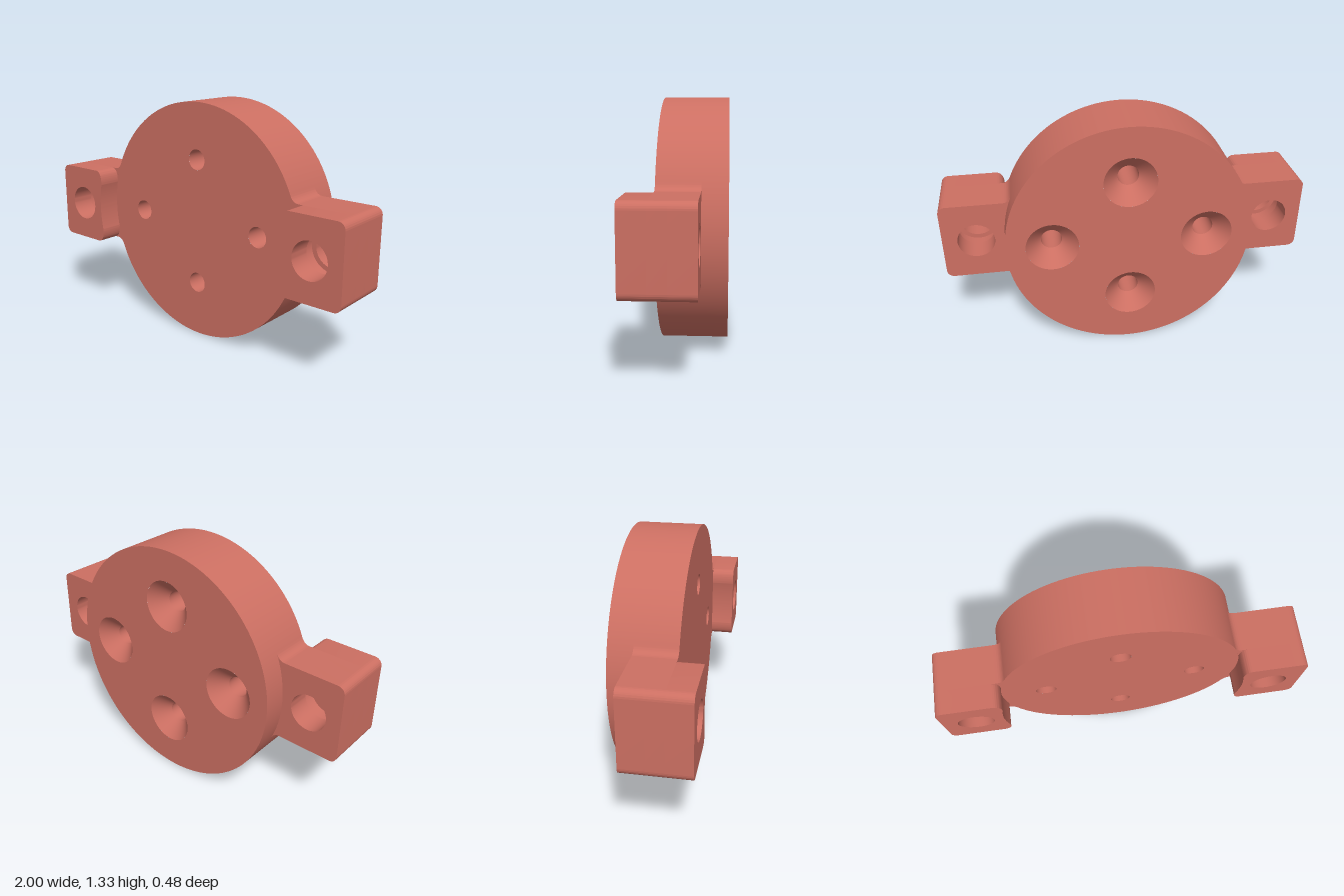
import * as THREE from 'three';
import { toCreasedNormals } from 'three/addons/utils/BufferGeometryUtils.js';

const R = 0.667;                    // disc radius, also the height of its centre
const BACK = -0.24, FACE = 0.11;    // disc faces
const EAR_BACK = -0.11, EAR_FRONT = 0.24;
const HALF = 0.22, EAR_X = 0.82;    // half height of an ear, centre of its bore

const material = new THREE.MeshStandardMaterial({ color: 0xcc6f62 });
const lining = new THREE.MeshStandardMaterial({ color: 0xcc6f62, side: THREE.DoubleSide });

function add(parent, name, geometry, mat = material) {
  const mesh = new THREE.Mesh(geometry, mat);
  mesh.name = name;
  parent.add(mesh);
  return mesh;
}

function hole(x, y, r) {
  const path = new THREE.Path();
  path.absarc(x, y, r, 0, Math.PI * 2, true);
  return path;
}

// Round disc with four countersunk screw holes
function createDisc() {
  const disc = new THREE.Group();
  disc.name = 'disc';
  const screws = [[0.42, 0], [-0.42, 0], [0, 0.355], [0, -0.355]];
  const small = 0.057, wide = 0.142;

  const cap = (r) => {
    const shape = new THREE.Shape();
    shape.absarc(0, 0, R, 0, Math.PI * 2, false);
    screws.forEach(([x, y]) => shape.holes.push(hole(x, y, r)));
    return new THREE.ShapeGeometry(shape, 64);
  };
  add(disc, 'frontFace', cap(small).translate(0, 0, FACE));
  add(disc, 'backFace', cap(wide).rotateY(Math.PI).translate(0, 0, BACK));
  const rim = new THREE.CylinderGeometry(R, R, FACE - BACK, 128, 1, true);
  add(disc, 'rim', rim.rotateX(Math.PI / 2).translate(0, 0, (FACE + BACK) / 2));

  // Each hole: a 45 degree countersink, then a straight bore
  const sinkEnd = BACK + wide - small;
  screws.forEach(([x, y]) => {
    const tube = (r0, r1, z0, z1) => new THREE.CylinderGeometry(r1, r0, z1 - z0, 64, 1, true)
      .rotateX(Math.PI / 2).translate(x, y, (z0 + z1) / 2);
    add(disc, 'countersink', tube(wide, small, BACK, sinkEnd), lining);
    add(disc, 'screwBore', tube(small, small, sinkEnd, FACE), lining);
  });
  return disc;
}

// Ear outline; its inner edge follows the disc between heights -innerY and +innerY
function earShape(innerY, curveX, ctrl, bore) {
  const c = 0.04;
  const a = Math.asin(innerY / R), ix = R * Math.cos(a);
  const s = new THREE.Shape();
  s.moveTo(ix, -innerY);
  s.quadraticCurveTo(ctrl[0], -ctrl[1], curveX, -HALF);
  s.lineTo(1 - c, -HALF);
  s.absarc(1 - c, -HALF + c, c, -Math.PI / 2, 0, false);
  s.lineTo(1, HALF - c);
  s.absarc(1 - c, HALF - c, c, 0, Math.PI / 2, false);
  s.lineTo(curveX, HALF);
  s.quadraticCurveTo(ctrl[0], ctrl[1], ix, innerY);
  s.absarc(0, 0, R, a, -a, true);
  s.holes.push(hole(EAR_X, 0, bore));
  return s;
}

// Mounting ear, with a wider pocket halfway along its bore
function createEar(name) {
  const ear = new THREE.Group();
  ear.name = name;
  const slab = (partName, shape, z0, z1) => {
    const g = new THREE.ExtrudeGeometry(shape, { depth: z1 - z0, bevelEnabled: false, curveSegments: 32 });
    add(ear, partName, toCreasedNormals(g.translate(0, 0, z0), 0.5));
  };
  const root = (bore) => earShape(0.26, 0.665, [0.63, HALF], bore);
  const pocket = 0.02;
  slab('earBack', root(0.1), EAR_BACK, pocket);
  slab('earMiddle', root(0.125), pocket, FACE);
  slab('earFront', earShape(0.14, 0.7, [0.65, HALF], 0.1), FACE, EAR_FRONT);
  return ear;
}

export function createModel() {
  const model = new THREE.Group();
  model.name = 'mountingFlange';
  model.add(createDisc(), createEar('leftEar'));
  const rightEar = createEar('rightEar');
  rightEar.rotation.z = Math.PI;
  model.add(rightEar);
  model.position.y = R;
  const root = new THREE.Group();
  root.add(model);
  return root;
}
